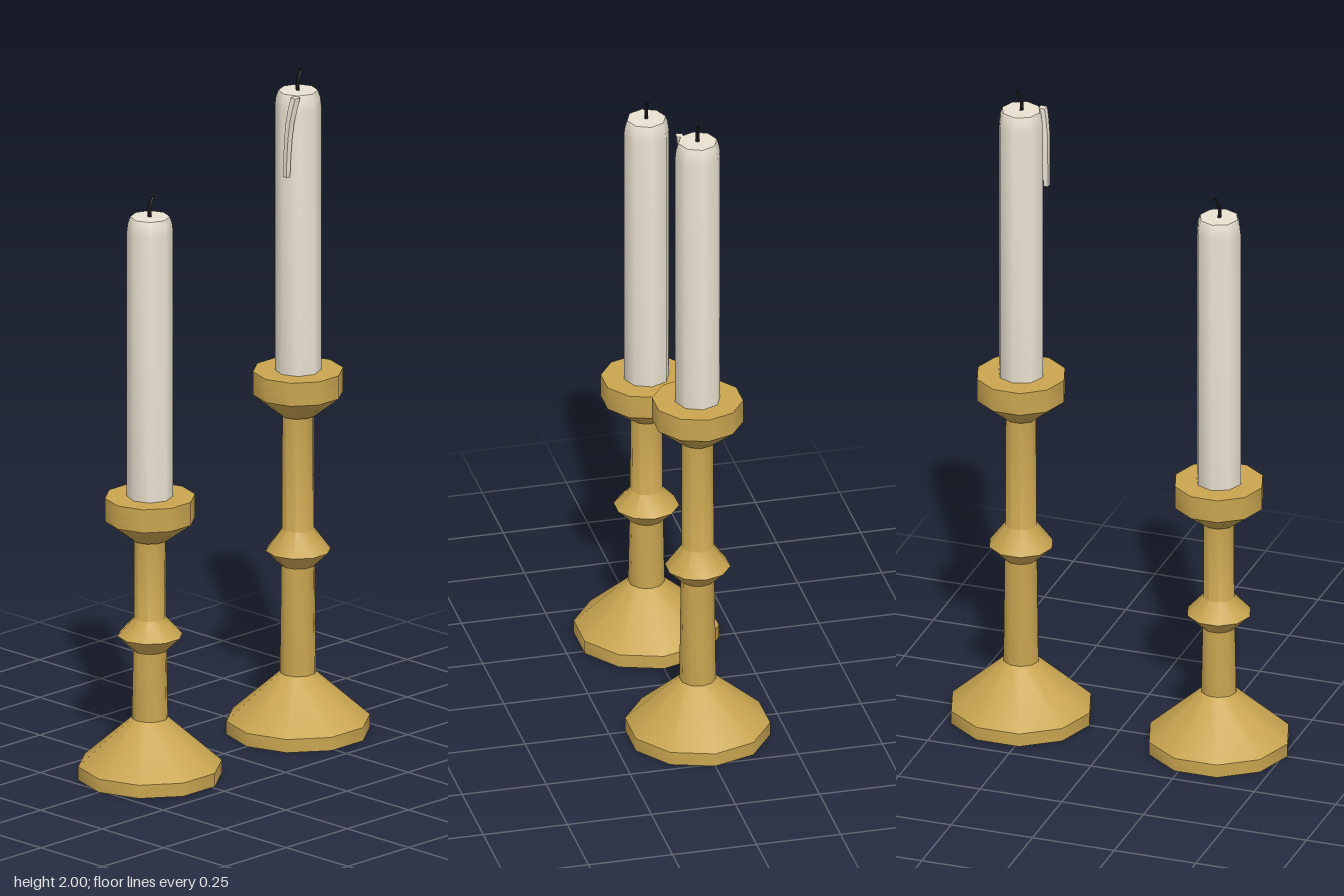
import * as THREE from 'three';
import { toCreasedNormals } from 'three/addons/utils/BufferGeometryUtils.js';

const brass = new THREE.MeshStandardMaterial({ color: 0xc9a550 });
const wax = new THREE.MeshStandardMaterial({ color: 0xe9e1d1 });
const char = new THREE.MeshStandardMaterial({ color: 0x1c1a1a });

// Turned part from [radius, height] pairs, with a corner on the x axis
function turned(name, profile, sides, crease, material) {
  const points = profile.map(([r, y]) => new THREE.Vector2(r, y));
  const lathe = new THREE.LatheGeometry(points, sides, Math.PI / 2);
  const mesh = new THREE.Mesh(toCreasedNormals(lathe, crease), material);
  mesh.name = name;
  return mesh;
}

// Capped prism whose cross-sections follow a list of path points, radius tapering upward
function bent(name, path, sides, rBottom, rTop, turn, material) {
  const curve = new THREE.CatmullRomCurve3(path.map((p) => new THREE.Vector3(...p)));
  const geometry = new THREE.CylinderGeometry(rTop, rBottom, 1, sides, 5);
  geometry.rotateY(turn);
  const pos = geometry.attributes.position;
  for (let i = 0; i < pos.count; i++) {
    const c = curve.getPoint(THREE.MathUtils.clamp(pos.getY(i) + 0.5, 0, 1));
    pos.setXYZ(i, pos.getX(i) + c.x, c.y, pos.getZ(i) + c.z);
  }
  const mesh = new THREE.Mesh(toCreasedNormals(geometry, 0.8), material);
  mesh.name = name;
  return mesh;
}

// One candlestick: knob = [bottom, middle, top], cup = [bottom, shoulder, rim]
function candlestick(name, x, knob, cup, candleTop) {
  const group = new THREE.Group();
  group.name = name;
  group.position.x = x;

  group.add(turned('holder', [
    [0, 0], [0.21, 0], [0.21, 0.04], [0.053, 0.18],
    [0.049, knob[0]], [0.095, knob[1]], [0.047, knob[2]],
    [0.046, cup[0]], [0.052, cup[0]], [0.132, cup[1]], [0.132, cup[2]], [0, cup[2]],
  ], 10, 0.75, brass));

  group.add(turned('candle', [
    [0, cup[2] - 0.02], [0.067, cup[2] - 0.02], [0.067, candleTop - 0.045],
    [0.064, candleTop - 0.02], [0.057, candleTop], [0, candleTop],
  ], 8, 0.9, wax));

  group.add(bent('wick', [
    [0, candleTop - 0.01, 0], [-0.002, candleTop + 0.02, 0],
    [0.002, candleTop + 0.04, 0], [0.012, candleTop + 0.058, 0],
  ], 5, 0.006, 0.005, 0, char));
  return group;
}

export function createModel() {
  const model = new THREE.Group();
  model.name = 'candlesticks';
  const short = candlestick('shortCandlestick', -0.303, [0.385, 0.43, 0.483], [0.72, 0.78, 0.85], 1.697);
  const tall = candlestick('tallCandlestick', 0.303, [0.505, 0.55, 0.615], [0.96, 1.025, 1.095], 1.942);

  // Wax run down the side of the tall candle
  tall.add(bent('waxDrip', [
    [-0.07, 1.7, 0.023], [-0.068, 1.8, 0.026], [-0.063, 1.88, 0.033], [-0.052, 1.94, 0.041],
  ], 4, 0.01, 0.014, 0.7, wax));

  model.add(short, tall);
  return model;
}
